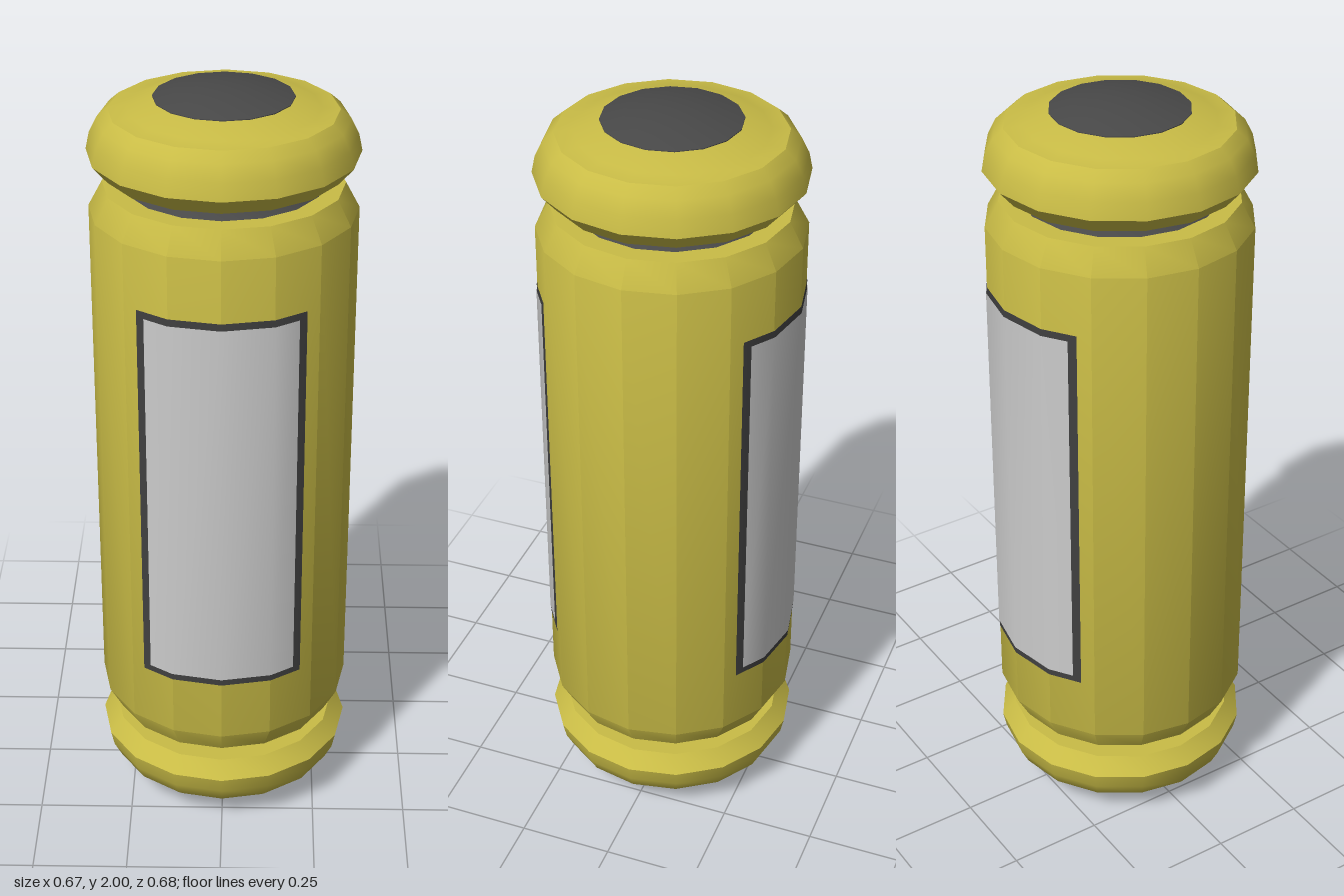
import * as THREE from 'three';
import { toCreasedNormals } from 'three/addons/utils/BufferGeometryUtils.js';

const SIDES = 16;
const RADIUS = 0.335;
const yellow = new THREE.MeshStandardMaterial({ color: 0xc9bc46 });
const dark = new THREE.MeshStandardMaterial({ color: 0x484848 });
const grey = new THREE.MeshStandardMaterial({ color: 0xcccccc, side: THREE.DoubleSide });
const trim = new THREE.MeshStandardMaterial({ color: 0x404040, side: THREE.DoubleSide });

// Turned part from [radius, y] pairs, listed bottom to top
function turned(name, profile, material) {
  const points = profile.map(([r, y]) => new THREE.Vector2(r, y));
  const geometry = toCreasedNormals(new THREE.LatheGeometry(points, SIDES), 0.6);
  const mesh = new THREE.Mesh(geometry, material);
  mesh.name = name;
  return mesh;
}

// Plate wrapped over the four front facets of the barrel
function plate(name, halfWidth, y0, y1, lift, material) {
  const r = RADIUS + lift;
  const step = (Math.PI * 2) / SIDES;
  const x1 = r * Math.sin(step), z1 = r * Math.cos(step);
  const x2 = r * Math.sin(2 * step), z2 = r * Math.cos(2 * step);
  const zEdge = z1 + ((halfWidth - x1) / (x2 - x1)) * (z2 - z1);
  const xs = [-halfWidth, -x1, 0, x1, halfWidth];
  const zs = [zEdge, z1, r, z1, zEdge];
  const geometry = new THREE.PlaneGeometry(1, 1, 4, 1);
  const p = geometry.attributes.position;
  for (let i = 0; i < p.count; i++) {
    p.setXYZ(i, xs[i % 5], i < 5 ? y1 : y0, zs[i % 5]);
  }
  geometry.computeVertexNormals();
  const mesh = new THREE.Mesh(geometry, material);
  mesh.name = name;
  return mesh;
}

// End assembly, modelled at the top
function createEnd() {
  const end = new THREE.Group();
  end.add(turned('neck', [
    [0.25, 1.755], [0.235, 1.768], [0.235, 1.785], [0.25, 1.8],
  ], dark));
  end.add(turned('cap', [
    [0.23, 1.795], [0.3, 1.795], [0.337, 1.838], [0.328, 1.88], [0.308, 1.92],
    [0.282, 1.943], [0.237, 1.948], [0.177, 1.973], [0.16, 1.973],
  ], yellow));
  end.add(turned('endDisc', [
    [0.173, 1.97], [0.173, 1.975], [0.12, 1.989], [0.06, 1.997], [0, 2],
  ], dark));
  return end;
}

export function createModel() {
  const model = new THREE.Group();
  model.name = 'canister';

  // Barrel with chamfered rims
  model.add(turned('barrel', [
    [0.23, 0.245], [0.3, 0.245], [RADIUS, 0.31],
    [RADIUS, 1.69], [0.3, 1.755], [0.23, 1.755],
  ], yellow));

  // Matching ends, the lower one turned over
  const topEnd = createEnd();
  topEnd.name = 'topEnd';
  const bottomEnd = createEnd();
  bottomEnd.name = 'bottomEnd';
  bottomEnd.rotation.x = Math.PI;
  bottomEnd.position.y = 2;
  model.add(topEnd, bottomEnd);

  // Framed panels front and back
  for (const [name, turn] of [['frontPanel', 0], ['backPanel', Math.PI]]) {
    const panel = new THREE.Group();
    panel.name = name;
    panel.add(plate('panelFrame', 0.206, 0.478, 1.528, 0.0015, trim));
    panel.add(plate('panelFace', 0.188, 0.496, 1.51, 0.003, grey));
    panel.rotation.y = turn;
    model.add(panel);
  }
  return model;
}
